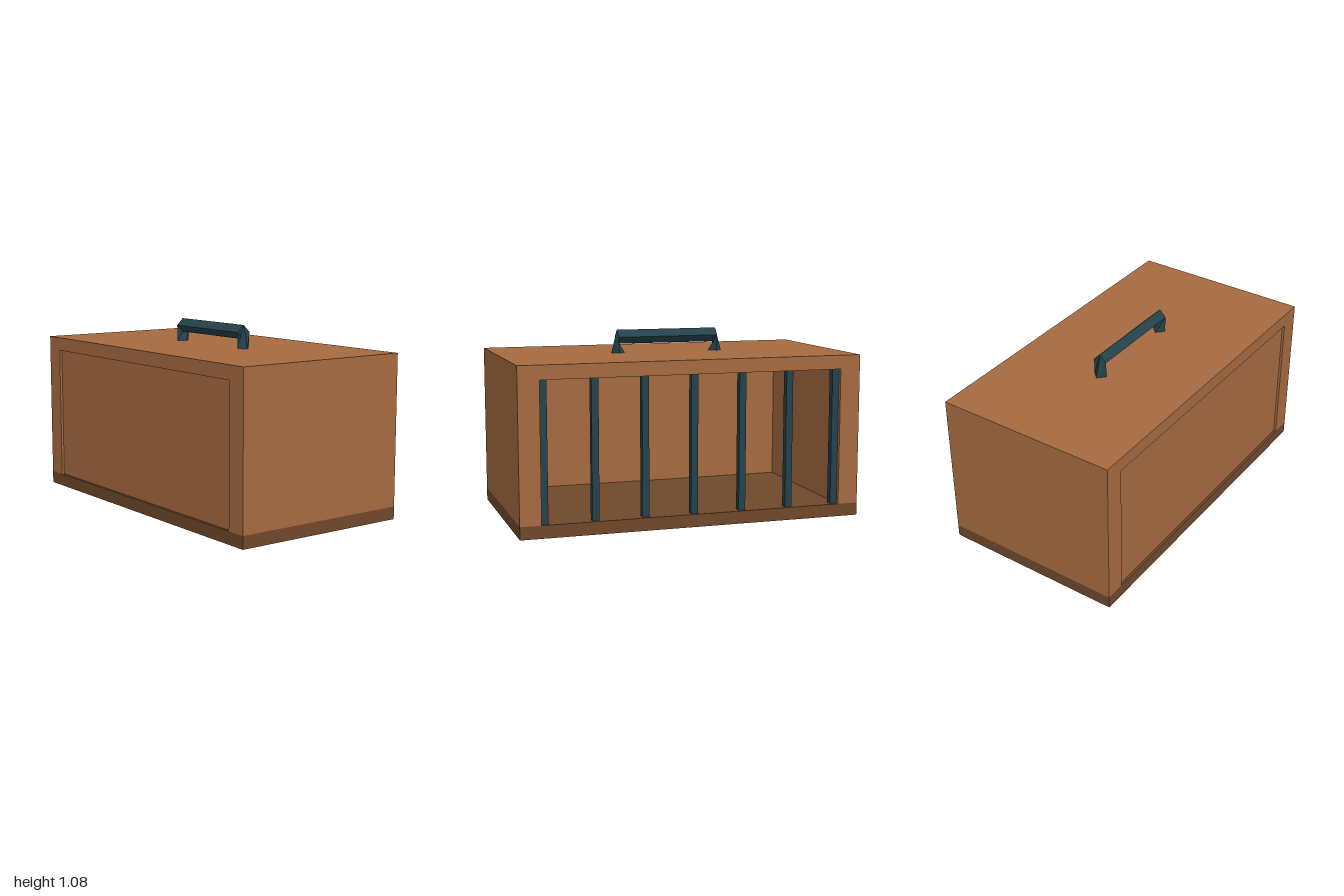
import * as THREE from 'three';

const W = 1, D = 0.54, TOP = 0.945;            // outer half width, half depth, height
const IN = 0.88, FLOOR = 0.073, CEIL = 0.865;  // inner opening

export function createModel() {
  const wood = new THREE.MeshStandardMaterial({ name: 'wood', color: 0xa56a40 });
  const darkWood = new THREE.MeshStandardMaterial({ name: 'darkWood', color: 0x6f482b });
  const metal = new THREE.MeshStandardMaterial({ name: 'darkMetal', color: 0x24424b });
  const crate = new THREE.Group();
  crate.name = 'carrierCrate';

  const add = (name, geometry, material) => {
    const mesh = new THREE.Mesh(geometry, material);
    mesh.name = name;
    crate.add(mesh);
    return mesh;
  };
  // box given by its min and max corners
  const box = (name, x0, x1, y0, y1, z0, z1, material) =>
    add(name, new THREE.BoxGeometry(x1 - x0, y1 - y0, z1 - z0), material)
      .position.set((x0 + x1) / 2, (y0 + y1) / 2, (z0 + z1) / 2);

  // base slab, which is also the inside floor
  box('base', -W, W, 0, FLOOR, -D, D, darkWood);

  // side walls and roof as one arch, open at both ends
  const arch = new THREE.Shape([
    [-W, FLOOR], [-IN, FLOOR], [-IN, CEIL], [IN, CEIL],
    [IN, FLOOR], [W, FLOOR], [W, TOP], [-W, TOP],
  ].map(([x, y]) => new THREE.Vector2(x, y)));
  const shell = new THREE.ExtrudeGeometry(arch, { depth: 2 * D, bevelEnabled: false });
  shell.translate(0, 0, -D);
  add('shell', shell, wood);

  // slightly recessed panel closing the front
  box('frontPanel', -IN, IN, FLOOR, CEIL, 0.455, 0.525, wood);

  // row of bars across the open back
  for (let i = -3; i <= 3; i++) {
    const x = i * 0.286;
    box('bar', x - 0.02, x + 0.02, FLOOR, CEIL, -0.52, -0.48, metal);
  }

  add('handle', handleGeometry(), metal);
  return crate;
}

// four-sided handle swept through diamond sections: foot, corner, corner, foot
function handleGeometry() {
  const r = 0.041;
  const rings = [ // centre x, centre y, outward direction x, y
    [-0.302, TOP, -1, 0], [-0.305, 1.038, 0, 1],
    [0.305, 1.038, 0, 1], [0.298, TOP, 1, 0],
  ];
  const positions = [], index = [];
  rings.forEach(([x, y, nx, ny], i) => {
    for (let j = 0; j < 4; j++) {
      const c = r * Math.cos(j * Math.PI / 2), s = r * Math.sin(j * Math.PI / 2);
      positions.push(x + nx * c, y + ny * c, s);
      if (i < rings.length - 1) {
        const a = i * 4 + j, b = i * 4 + (j + 1) % 4;
        index.push(a, b, b + 4, a, b + 4, a + 4);
      }
    }
  });
  const indexed = new THREE.BufferGeometry();
  indexed.setAttribute('position', new THREE.Float32BufferAttribute(positions, 3));
  indexed.setIndex(index);
  const flat = indexed.toNonIndexed();
  flat.computeVertexNormals();
  return flat;
}
